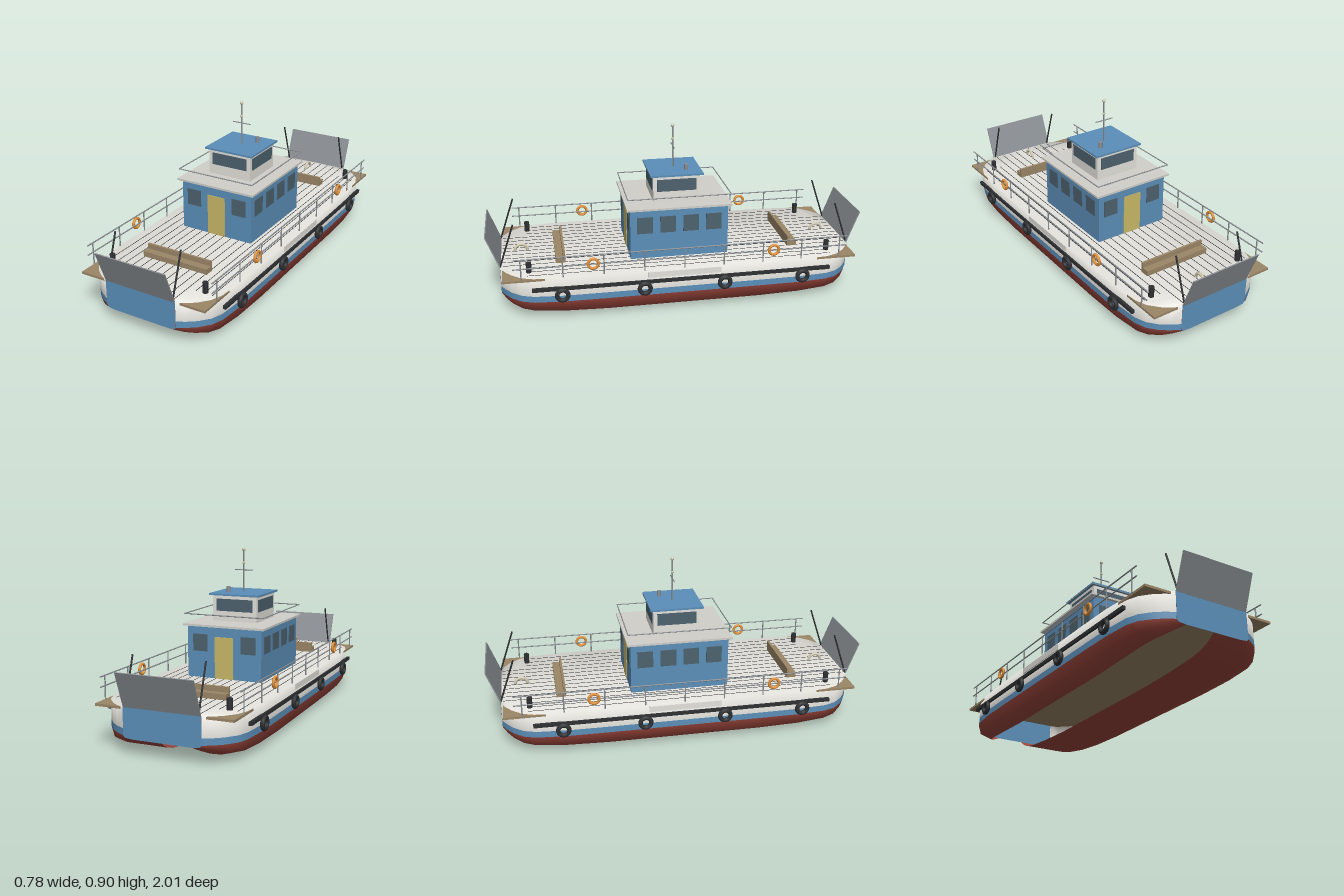
import * as THREE from 'three';

const mat = (color, side = THREE.FrontSide) => new THREE.MeshStandardMaterial({ color, side });
const WHITE = mat(0xe4e2dc), BLUE = mat(0x5b8fb9), DARK = mat(0x2e3033), GLASS = mat(0x4d626e);
const TAN = mat(0x9c8767), GREY = mat(0x8b9094), ORANGE = mat(0xe0913a), YELLOW = mat(0xc9b867), CREAM = mat(0xd2cbb0);
const ROOF = mat(0xd0cfca);
const DECK = 0.23;

export function createModel() {
  const root = new THREE.Group();
  root.name = 'ferry';

  const add = (name, geo, material, x = 0, y = 0, z = 0, parent = root) => {
    const m = new THREE.Mesh(geo, material);
    m.name = name;
    m.position.set(x, y, z);
    parent.add(m);
    return m;
  };
  const box = (name, material, w, h, d, x, y, z) => add(name, new THREE.BoxGeometry(w, h, d), material, x, y, z);
  // round bar between two points
  const bar = (name, material, r, a, b) => {
    const p = new THREE.Vector3(...a), q = new THREE.Vector3(...b);
    const m = add(name, new THREE.CylinderGeometry(r, r, p.distanceTo(q), 8), material);
    m.position.copy(p).add(q).multiplyScalar(0.5);
    m.quaternion.setFromUnitVectors(new THREE.Vector3(0, 1, 0), q.sub(p).normalize());
    return m;
  };

  // Hull: stations of [z, half width, bottom height], mirrored end to end
  const half = [[0.935, 0.2, 0.08], [0.91, 0.245, 0.062], [0.88, 0.285, 0.045], [0.83, 0.328, 0.029],
    [0.77, 0.35, 0.019], [0.62, 0.363, 0.008], [0.4, 0.365, 0]];
  const stations = [...half.map(([z, w, b]) => [-z, w, b]), ...half.slice().reverse()];
  const section = (w, b) => [[0, b], [w * 0.75, b], [w * 0.955, b + (0.095 - b) * 0.3], [w, 0.095],
    [w, 0.128], [w, DECK], [0, DECK]];
  const hullBand = (name, color, from, to, side) => {
    const pos = [], idx = [], n = to - from + 1;
    for (const [z, w, b] of stations)
      for (const [x, y] of section(w, b).slice(from, to + 1)) pos.push(x * side, y, z);
    for (let i = 0; i < stations.length - 1; i++)
      for (let j = 0; j < n - 1; j++) {
        const a = i * n + j, c = a + n;
        if (side > 0) idx.push(a, a + 1, c, a + 1, c + 1, c);
        else idx.push(a, c, a + 1, a + 1, c, c + 1);
      }
    const g = new THREE.BufferGeometry();
    g.setAttribute('position', new THREE.Float32BufferAttribute(pos, 3));
    // wind outwards
    for (let k = 0; k < idx.length; k += 3) [idx[k + 1], idx[k + 2]] = [idx[k + 2], idx[k + 1]];
    g.setIndex(idx);
    g.computeVertexNormals();
    add(name, g, mat(color, THREE.DoubleSide));
  };
  for (const s of [1, -1]) {
    // the bottom plate is open on the -x half
    hullBand('hullBottom', 0x9c463c, s > 0 ? 0 : 1, 3, s);
    hullBand('hullStripe', 0x5b8fb9, 3, 4, s);
    hullBand('hullTopside', 0xe4e2dc, 4, 6, s);
  }

  // Flat hull ends with ramps and their struts
  const e = section(0.2, 0.08).slice(1, 6);
  const endShape = new THREE.Shape([...e, ...e.map(([x, y]) => [-x, y]).reverse()].map(p => new THREE.Vector2(...p)));
  for (const s of [1, -1]) {
    add('hullEnd', new THREE.ShapeGeometry(endShape), mat(0x5b8fb9, THREE.DoubleSide), 0, 0, s * 0.936);
    const ramp = box('ramp', GREY, 0.395, 0.186, 0.006, 0, 0.317, s * 0.967);
    ramp.rotation.x = s * Math.atan2(0.065, 0.172);
    for (const x of [-0.187, 0.187])
      bar('rampStrut', DARK, 0.0045, [x, 0.232, s * 0.935], [x, 0.46, s * 0.857]);
  }

  // Deck plate and plank seams
  box('deckPlate', TAN, 0.71, 0.012, 1.85, 0, 0.221, 0);
  for (let i = -7; i <= 7; i++) {
    const x = i * 0.045;
    const l = Math.abs(x) < 0.2 ? 1.85 : 1.6;
    box('deckSeam', DARK, 0.003, 0.002, l, x, DECK, 0);
  }

  // Fittings along both sides
  for (const s of [1, -1]) {
    box('rubbingStrake', DARK, 0.016, 0.018, 1.56, s * 0.367, 0.172, 0);
    box('boardingSill', WHITE, 0.012, 0.03, 0.38, s * 0.364, 0.208, 0);
    for (const z of [-0.63, -0.21, 0.21, 0.63]) {
      const fender = add('tyreFender', new THREE.TorusGeometry(0.028, 0.0115, 10, 24), DARK, s * 0.377, 0.138, z);
      fender.rotation.y = Math.PI / 2;
      box('fenderHanger', DARK, 0.016, 0.02, 0.012, s * 0.367, 0.17, z);
    }
    // railing
    for (const y of [0.29, 0.34])
      bar('rail', GREY, 0.0035, [s * 0.358, y, -0.87], [s * 0.358, y, 0.87]);
    for (let i = -4; i <= 4; i++)
      bar('railPost', GREY, 0.0035, [s * 0.358, DECK - 0.005, i * 0.2075], [s * 0.358, 0.342, i * 0.2075]);
    for (const z of [-0.47, 0.47]) {
      const ring = add('lifeRing', new THREE.TorusGeometry(0.026, 0.0075, 10, 24), ORANGE, s * 0.366, 0.295, z);
      ring.rotation.y = Math.PI / 2;
    }
    for (const z of [-0.79, 0.79])
      add('bollard', new THREE.CylinderGeometry(0.014, 0.014, 0.056, 14), DARK, s * 0.271, DECK + 0.027, z);
  }

  // Benches and deck hoops at each end
  for (const s of [1, -1]) {
    box('benchSeat', TAN, 0.375, 0.028, 0.05, 0, DECK + 0.014, s * 0.625);
    box('benchBack', TAN, 0.375, 0.055, 0.012, 0, DECK + 0.0275, s * 0.606);
    const hoop = add('deckHoop', new THREE.TorusGeometry(0.033, 0.008, 8, 20, Math.PI), CREAM, 0, DECK + 0.005, s * 0.825);
    hoop.rotation.y = Math.PI / 2;
  }

  // Passenger cabin
  box('cabin', BLUE, 0.416, 0.272, 0.52, 0, 0.366, 0);
  box('cabinRoof', ROOF, 0.456, 0.011, 0.556, 0, 0.507, 0);
  for (const s of [1, -1]) {
    box('cabinDoor', YELLOW, 0.104, 0.22, 0.006, 0, 0.34, s * 0.26);
    for (const x of [-0.135, 0.135])
      box('cabinEndWindow', GLASS, 0.082, 0.09, 0.006, x, 0.415, s * 0.26);
    for (const z of [-0.183, -0.061, 0.061, 0.183])
      box('cabinSideWindow', GLASS, 0.006, 0.09, 0.083, s * 0.208, 0.415, z);
    // rail around the roof
    bar('roofRail', GREY, 0.003, [-0.22, 0.565, s * 0.272], [0.22, 0.565, s * 0.272]);
    bar('roofRail', GREY, 0.003, [s * 0.22, 0.565, -0.272], [s * 0.22, 0.565, 0.272]);
  }

  // Wheelhouse
  box('wheelhouse', WHITE, 0.25, 0.142, 0.25, 0, 0.581, 0);
  box('wheelhouseRoof', BLUE, 0.282, 0.01, 0.282, 0, 0.655, 0);
  for (const s of [1, -1]) {
    box('wheelhouseWindow', GLASS, 0.208, 0.065, 0.006, 0, 0.599, s * 0.125);
    box('wheelhouseWindow', GLASS, 0.006, 0.065, 0.208, s * 0.125, 0.599, 0);
  }

  // Mast and funnel
  bar('mast', GREY, 0.004, [0, 0.655, 0], [0, 0.885, 0]);
  bar('mastYard', GREY, 0.003, [-0.052, 0.777, 0], [0.052, 0.777, 0]);
  add('mastTopLight', new THREE.SphereGeometry(0.0095, 14, 10), CREAM, 0, 0.887, 0);
  add('mastLight', new THREE.SphereGeometry(0.0075, 14, 10), CREAM, 0, 0.814, 0);
  add('funnel', new THREE.CylinderGeometry(0.011, 0.011, 0.032, 14), GREY, 0.063, 0.675, -0.062);

  return root;
}
